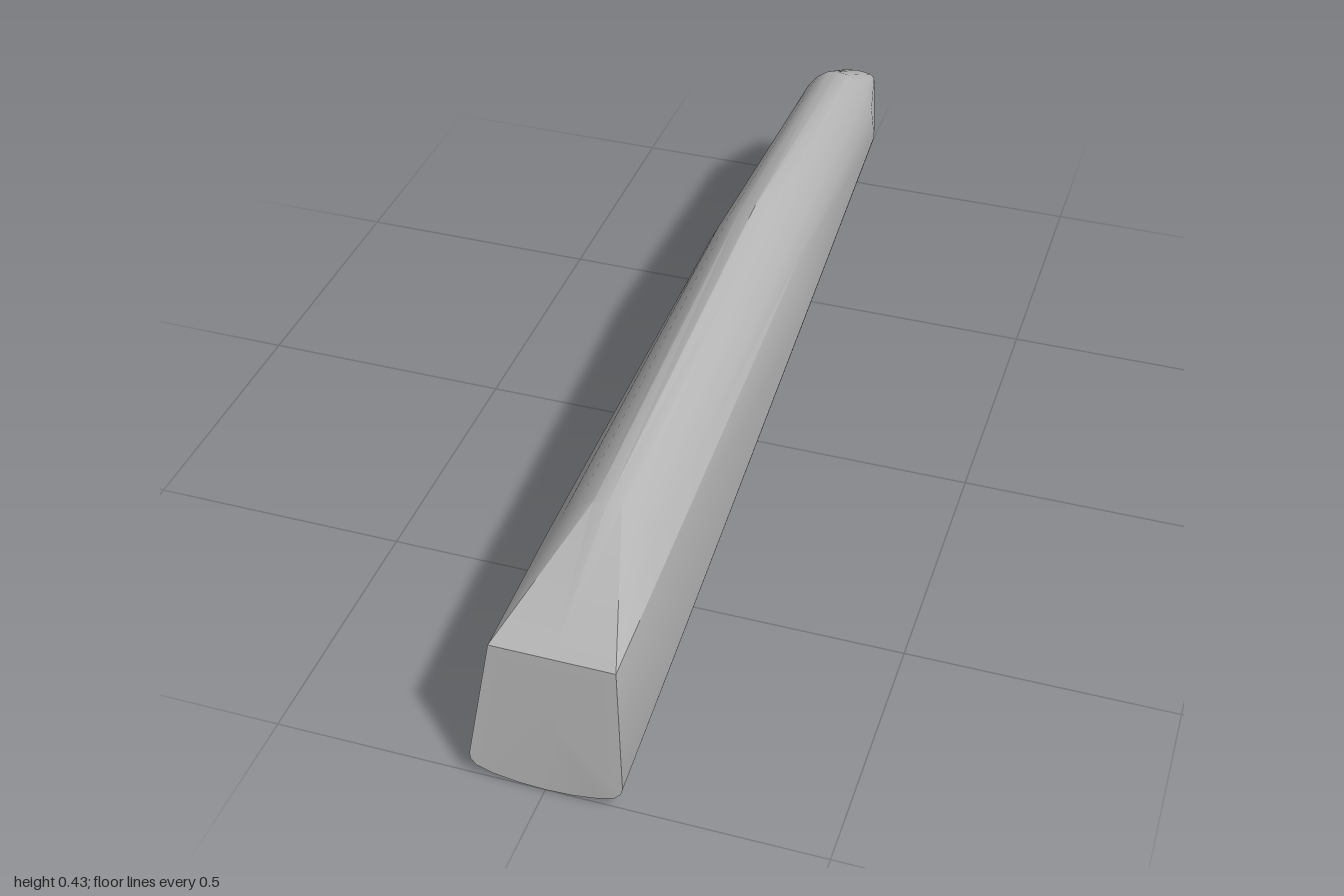
import * as THREE from 'three';
import { toCreasedNormals } from 'three/addons/utils/BufferGeometryUtils.js';

// Half cross-sections from front to back. Bottom: centre height b, half width w, corner rise r.
// Upper points run from the shoulder to just beside the crown; top is the crown height.
const sections = [
  { z: 1, b: 0.0, w: 0.138, r: 0.04, upper: [[0.113, 0.25], [0.113, 0.25], [0.113, 0.25], [0.113, 0.25]], top: 0.25 },
  { z: 0.66, b: 0.038, w: 0.13, r: 0.04, upper: [[0.11, 0.272], [0.087, 0.305], [0.058, 0.335], [0.026, 0.356]], top: 0.36 },
  { z: -0.2, b: 0.132, w: 0.107, r: 0.04, upper: [[0.095, 0.325], [0.077, 0.362], [0.053, 0.395], [0.028, 0.417]], top: 0.428 },
  { z: -0.83, b: 0.2, w: 0.089, r: 0.04, upper: [[0.08, 0.31], [0.066, 0.345], [0.047, 0.37], [0.024, 0.386]], top: 0.39 },
  { z: -1, b: 0.245, w: 0.045, r: 0.018, upper: [[0.043, 0.285], [0.04, 0.292], [0.033, 0.297], [0.02, 0.3]], top: 0.302 },
];

// The front end leans back as it rises
const frontZ = (y) => 1 - 0.06 * Math.max(0, (y - 0.02) / 0.23);

// Full ring, counter-clockwise seen from the front
function ring(s, index) {
  const half = [
    [0.35 * s.w, s.b + 0.06 * s.r],
    [0.68 * s.w, s.b + 0.24 * s.r],
    [0.9 * s.w, s.b + 0.5 * s.r],
    [0.98 * s.w, s.b + 0.75 * s.r],
    [s.w, s.b + s.r],
    ...s.upper,
  ];
  const mirrored = half.map(([x, y]) => [-x, y]).reverse();
  return [[0, s.b], ...half, [0, s.top], ...mirrored]
    .map(([x, y]) => [x, y, index === 0 ? frontZ(y) : s.z]);
}

function loft(rings) {
  const n = rings[0].length;
  const positions = [];
  const triangle = (a, b, c) => {
    const va = new THREE.Vector3(...a), vb = new THREE.Vector3(...b), vc = new THREE.Vector3(...c);
    if (vb.sub(va).cross(vc.sub(va)).length() > 1e-9) positions.push(...a, ...b, ...c);
  };
  // Long skin between neighbouring rings, split symmetrically left and right
  for (let k = 0; k < rings.length - 1; k++) {
    for (let i = 0; i < n; i++) {
      const j = (i + 1) % n;
      const a = rings[k][i], b = rings[k][j], c = rings[k + 1][i], d = rings[k + 1][j];
      if (i < n / 2) {
        triangle(a, c, b);
        triangle(b, c, d);
      } else {
        triangle(a, c, d);
        triangle(a, d, b);
      }
    }
  }
  // End caps
  const front = rings[0], back = rings[rings.length - 1];
  const frontCentre = [0, 0.13, frontZ(0.13)], backCentre = [0, 0.273, -1];
  for (let i = 0; i < n; i++) {
    const j = (i + 1) % n;
    triangle(frontCentre, front[i], front[j]);
    triangle(backCentre, back[j], back[i]);
  }
  const geometry = new THREE.BufferGeometry();
  geometry.setAttribute('position', new THREE.Float32BufferAttribute(positions, 3));
  return toCreasedNormals(geometry, THREE.MathUtils.degToRad(28));
}

export function createModel() {
  const group = new THREE.Group();
  group.name = 'taperedBar';
  const grey = new THREE.MeshStandardMaterial({ color: 0xb4b4b4 });
  grey.name = 'plain grey';
  const body = new THREE.Mesh(loft(sections.map(ring)), grey);
  body.name = 'body';
  group.add(body);
  return group;
}
